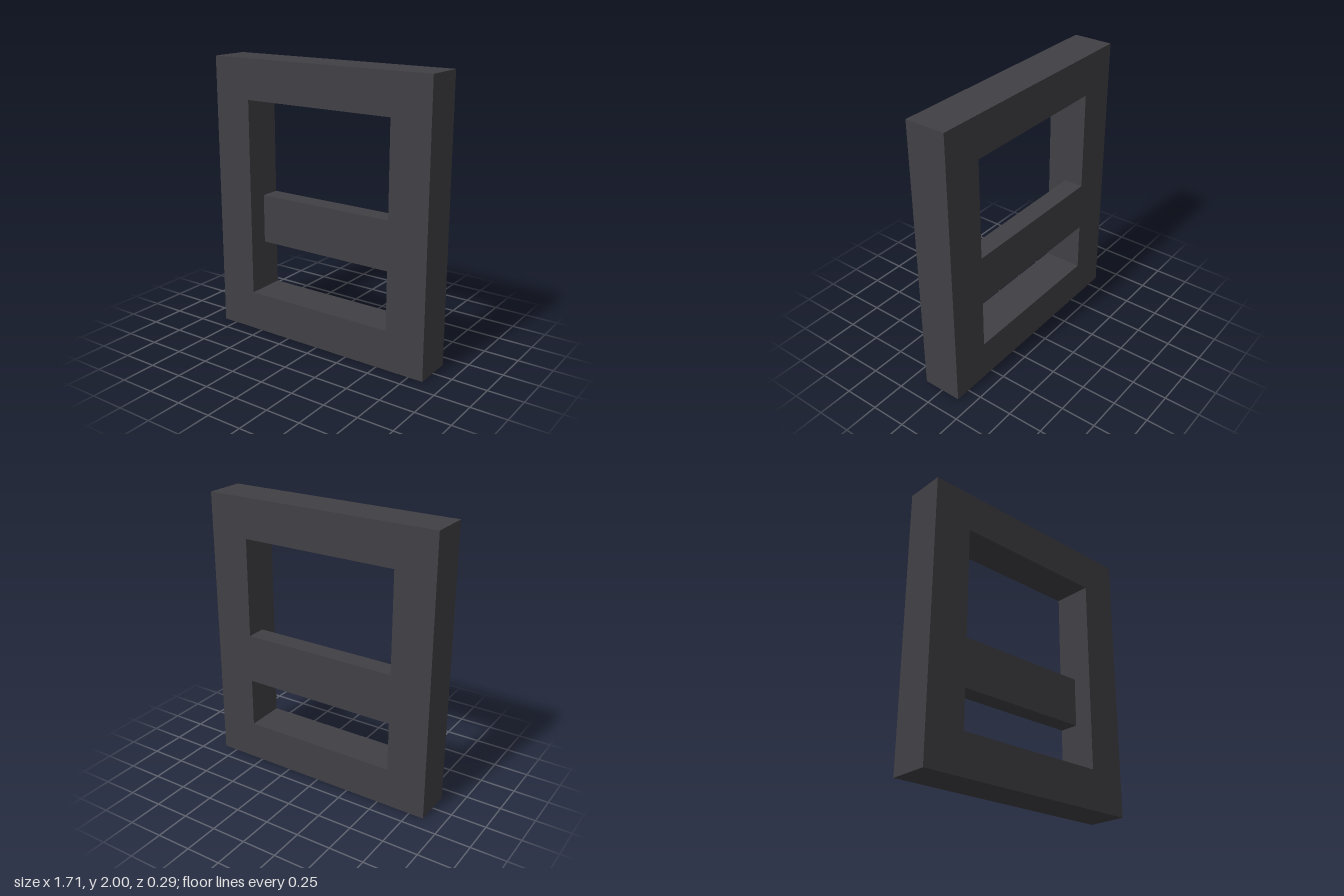
import * as THREE from 'three';

export function createModel() {
  const group = new THREE.Group();
  const charcoal = new THREE.MeshStandardMaterial({ color: 0x414045 });
  charcoal.name = 'charcoal';

  const W = 1.714, H = 2, D = 0.286; // outer size
  const R = 0.286;                   // rim width

  const rectangle = (path, x0, y0, x1, y1) => {
    path.moveTo(x0, y0);
    path.lineTo(x1, y0);
    path.lineTo(x1, y1);
    path.lineTo(x0, y1);
    path.closePath();
    return path;
  };

  // Rectangular frame with one opening
  const outline = rectangle(new THREE.Shape(), -W / 2, 0, W / 2, H);
  outline.holes.push(rectangle(new THREE.Path(), -W / 2 + R, R, W / 2 - R, H - R));
  const frameGeometry = new THREE.ExtrudeGeometry(outline, { depth: D, bevelEnabled: false });
  frameGeometry.translate(0, 0, -D / 2);
  const frame = new THREE.Mesh(frameGeometry, charcoal);
  frame.name = 'frame';
  group.add(frame);

  // Half-depth crossbar, flush with the back of the frame
  const barBottom = 0.643, barTop = 1;
  const bar = new THREE.Mesh(
    new THREE.BoxGeometry(W - 2 * R, barTop - barBottom, D / 2), charcoal);
  bar.position.set(0, (barBottom + barTop) / 2, -D / 4);
  bar.name = 'crossbar';
  group.add(bar);

  return group;
}
